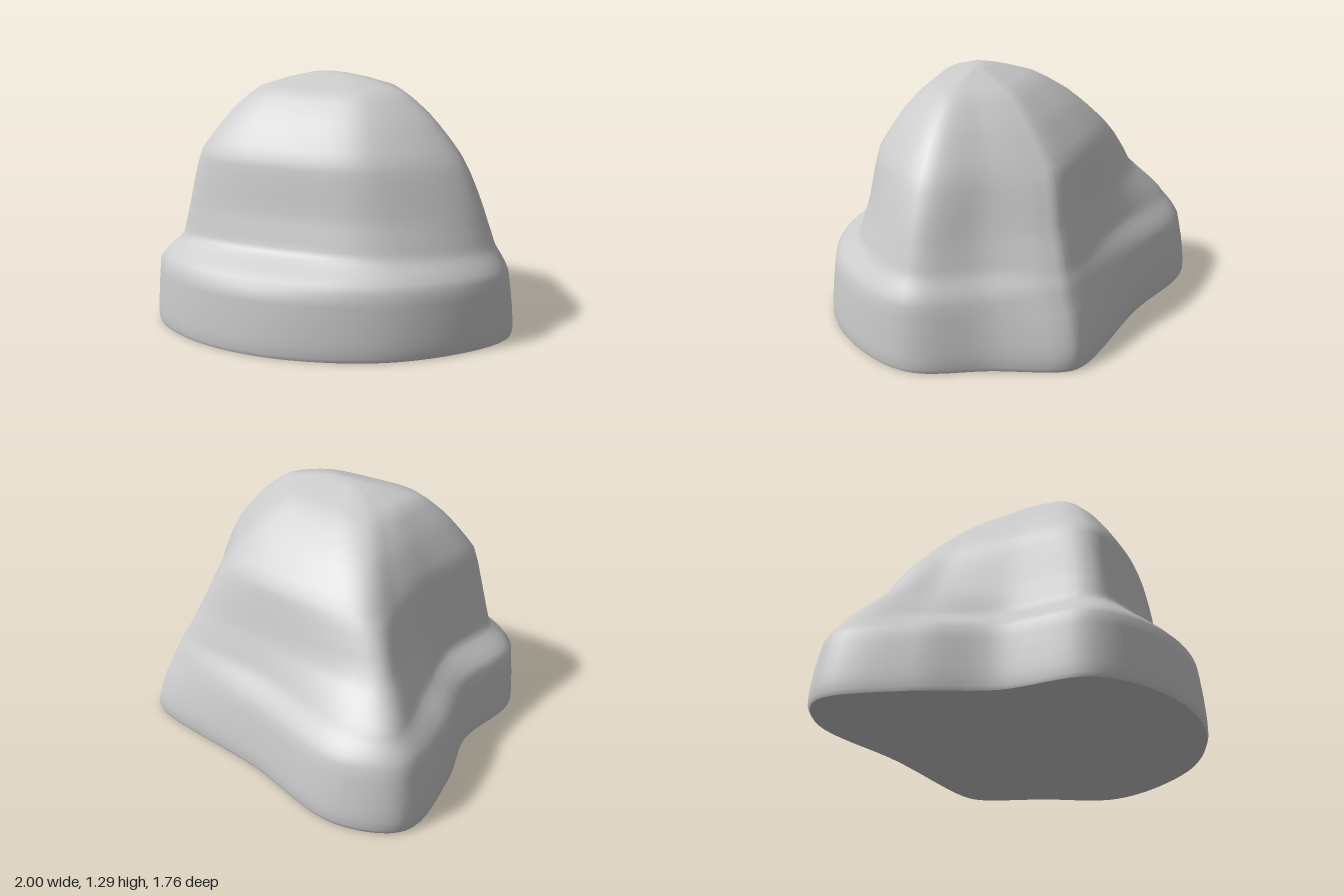
import * as THREE from 'three';

// Key outlines as [x, z], clockwise from the back right corner, seen from above
const FOOT = [[-0.99, -0.7], [-0.7, -0.87], [-0.08, -0.77], [0.64, -0.7], [0.72, -0.64],
  [0.84, -0.31], [0.995, 0.09], [0.66, 0.62], [0.1, 0.868], [-0.42, 0.83], [-0.76, 0.59],
  [-0.78, 0.12], [-0.92, -0.24]];
const LEDGE = [[-0.95, -0.67], [-0.69, -0.83], [-0.07, -0.73], [0.58, -0.62], [0.655, -0.55],
  [0.79, -0.28], [0.975, 0.1], [0.64, 0.605], [0.08, 0.84], [-0.42, 0.81], [-0.745, 0.58],
  [-0.755, 0.12], [-0.89, -0.24]];
const WAIST = [[-0.855, -0.63], [-0.66, -0.72], [-0.04, -0.63], [0.53, -0.57], [0.6, -0.5],
  [0.72, -0.24], [0.9, 0.1], [0.53, 0.54], [0.05, 0.655], [-0.4, 0.645], [-0.615, 0.55],
  [-0.625, 0.1], [-0.75, -0.25]];
const BODY = [[-0.71, -0.5], [-0.57, -0.57], [0, -0.56], [0.46, -0.51], [0.53, -0.44],
  [0.66, -0.2], [0.84, 0.1], [0.48, 0.5], [0.05, 0.605], [-0.4, 0.605], [-0.58, 0.53],
  [-0.59, 0.1], [-0.65, -0.24]];
const SHOULDER = [[-0.55, -0.4], [-0.44, -0.47], [0, -0.5], [0.35, -0.44], [0.42, -0.37],
  [0.55, -0.18], [0.72, 0.1], [0.43, 0.46], [0.05, 0.56], [-0.4, 0.56], [-0.54, 0.48],
  [-0.55, 0.1], [-0.56, -0.2]];
const CROWN = [[-0.28, -0.09], [-0.2, -0.15], [0, -0.16], [0.19, -0.155], [0.24, -0.12],
  [0.32, -0.03], [0.4, 0.1], [0.28, 0.26], [0, 0.32], [-0.22, 0.33], [-0.31, 0.29],
  [-0.33, 0.1], [-0.31, 0]];
const OUTLINES = [FOOT, LEDGE, WAIST, BODY, SHOULDER, CROWN];

// Levels as [y, position between outlines, scale about the crown axis]
const LEVELS = [
  [0, 0, 0.99], [0.02, 0, 1], [0.07, 0.03, 1], [0.12, 0.14, 1], [0.2, 0.4, 1], [0.27, 0.71, 1],
  [0.33, 1, 1], [0.365, 1.2, 1], [0.395, 1.42, 1], [0.42, 1.64, 1], [0.445, 1.84, 1],
  [0.465, 1.97, 1], [0.49, 2.11, 1], [0.52, 2.27, 1], [0.56, 2.5, 1], [0.6, 2.73, 1],
  [0.65, 3, 1], [0.73, 3.27, 1], [0.82, 3.61, 1], [0.86, 3.8, 1], [0.9, 4, 1], [0.95, 4.12, 1],
  [1, 4.25, 1], [1.05, 4.39, 1], [1.1, 4.54, 1], [1.17, 4.81, 1], [1.21, 5, 1],
  [1.225, 5, 0.82], [1.25, 5, 0.55], [1.275, 5, 0.22],
];
const SIDES = 104;
const CENTRE_Z = 0.09;

// Smooth closed loop through an outline
function sampleOutline(points) {
  const curve = new THREE.CatmullRomCurve3(
    points.map(([x, z]) => new THREE.Vector3(x, 0, z)), true, 'centripetal');
  return Array.from({ length: SIDES }, (_, i) => curve.getPoint(i / SIDES));
}

// The crown narrows faster in z than in x, leaving a short ridge along x
function makeRing(loops, [y, at, scale]) {
  const k = Math.min(Math.floor(at), loops.length - 2);
  return loops[k].map((p, j) => {
    const v = p.clone().lerp(loops[k + 1][j], at - k);
    return new THREE.Vector3(v.x * scale ** 0.7, y, CENTRE_Z + (v.z - CENTRE_Z) * scale);
  });
}

function makeGeometry(points, index) {
  const geometry = new THREE.BufferGeometry().setFromPoints(points);
  geometry.setIndex(index);
  geometry.computeVertexNormals();
  return geometry;
}

export function createModel() {
  const group = new THREE.Group();
  group.name = 'boulder';
  const material = new THREE.MeshStandardMaterial({ color: 0xcccccc });
  const loops = OUTLINES.map(sampleOutline);
  const rings = LEVELS.map((level) => makeRing(loops, level));

  // Rock body: skin between the rings, closed at the peak
  const points = rings.flat();
  const peak = points.length;
  points.push(new THREE.Vector3(0, 1.288, CENTRE_Z));
  const index = [];
  for (let j = 0; j < SIDES; j++) {
    const next = (j + 1) % SIDES;
    for (let i = 0; i < rings.length - 1; i++) {
      const a = i * SIDES + j, b = i * SIDES + next;
      index.push(b, a, a + SIDES, b, a + SIDES, b + SIDES);
    }
    const last = (rings.length - 1) * SIDES;
    index.push(last + next, last + j, peak);
  }
  const body = new THREE.Mesh(makeGeometry(points, index), material);
  body.name = 'rockBody';

  // Flat underside
  const fan = [];
  for (let j = 0; j < SIDES; j++) fan.push(SIDES, j, (j + 1) % SIDES);
  const underside = new THREE.Mesh(
    makeGeometry([...rings[0], new THREE.Vector3(0, 0, 0)], fan), material);
  underside.name = 'underside';

  group.add(body, underside);
  return group;
}
